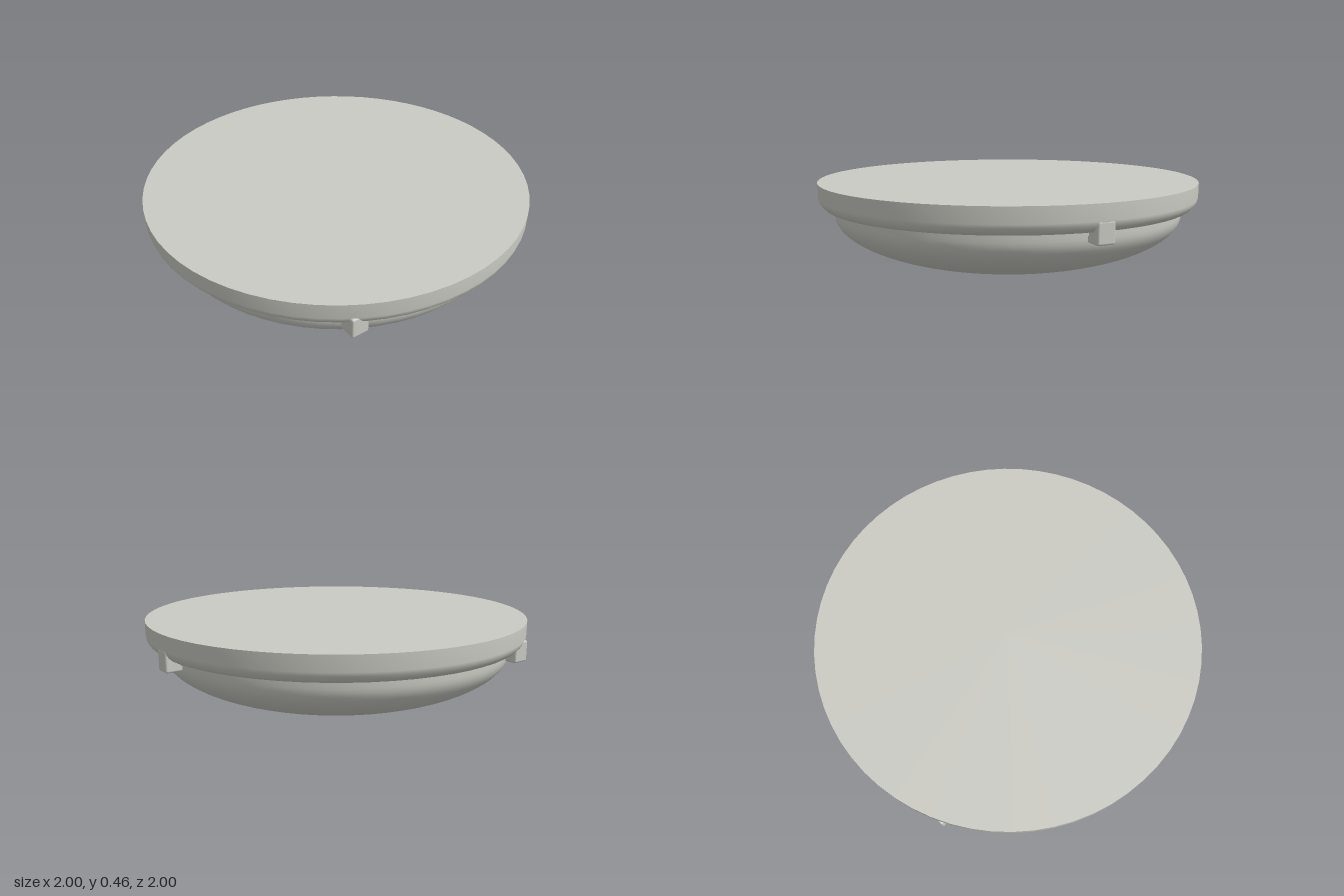
import * as THREE from 'three';
import { RoundedBoxGeometry } from 'three/addons/geometries/RoundedBoxGeometry.js';

const SEGMENTS = 64;

export function createModel() {
  const model = new THREE.Group();
  model.name = 'ceilingLamp';
  const paleGrey = new THREE.MeshStandardMaterial({ color: 0xcbcbc4 });
  paleGrey.name = 'paleGrey';

  const add = (name, geometry) => {
    const mesh = new THREE.Mesh(geometry, paleGrey);
    mesh.name = name;
    model.add(mesh);
    return mesh;
  };
  // Profiles run from bottom to top as [radius, height]
  const lathe = (points) =>
    new THREE.LatheGeometry(points.map(([r, y]) => new THREE.Vector2(r, y)), SEGMENTS);

  // Shallow bowl: quarter ellipse ending in a short upright lip
  const bowl = [];
  for (let i = 0; i <= 24; i++) {
    const a = (i / 24) * Math.PI / 2;
    bowl.push([0.92 * Math.sin(a), 0.295 - 0.29 * Math.cos(a)]);
  }
  bowl.push([0.92, 0.315]);
  add('diffuserBowl', lathe(bowl));

  // Thin collar between bowl and base
  add('collarUnderside', lathe([[0.88, 0.314], [0.93, 0.314]]));
  add('collar', lathe([[0.93, 0.314], [0.93, 0.335]]));

  // Base pan with rounded lower edge
  add('baseRim', lathe([
    [0.9, 0.333], [0.94, 0.333], [0.967, 0.337], [0.984, 0.353],
    [0.995, 0.37], [1, 0.388], [1, 0.463],
  ]));

  // Flat mounting face
  const plate = add('mountingFace', new THREE.CircleGeometry(1, SEGMENTS));
  plate.rotation.x = -Math.PI / 2;
  plate.position.y = 0.463;

  // Three square retaining clips, spaced evenly but kept axis-aligned
  for (let i = 0; i < 3; i++) {
    const a = (i * 2 * Math.PI) / 3;
    const clip = add('retainingClip', new RoundedBoxGeometry(0.088, 0.105, 0.088, 2, 0.01));
    clip.position.set(0.955 * Math.cos(a), 0.335, 0.955 * Math.sin(a));
  }
  return model;
}
